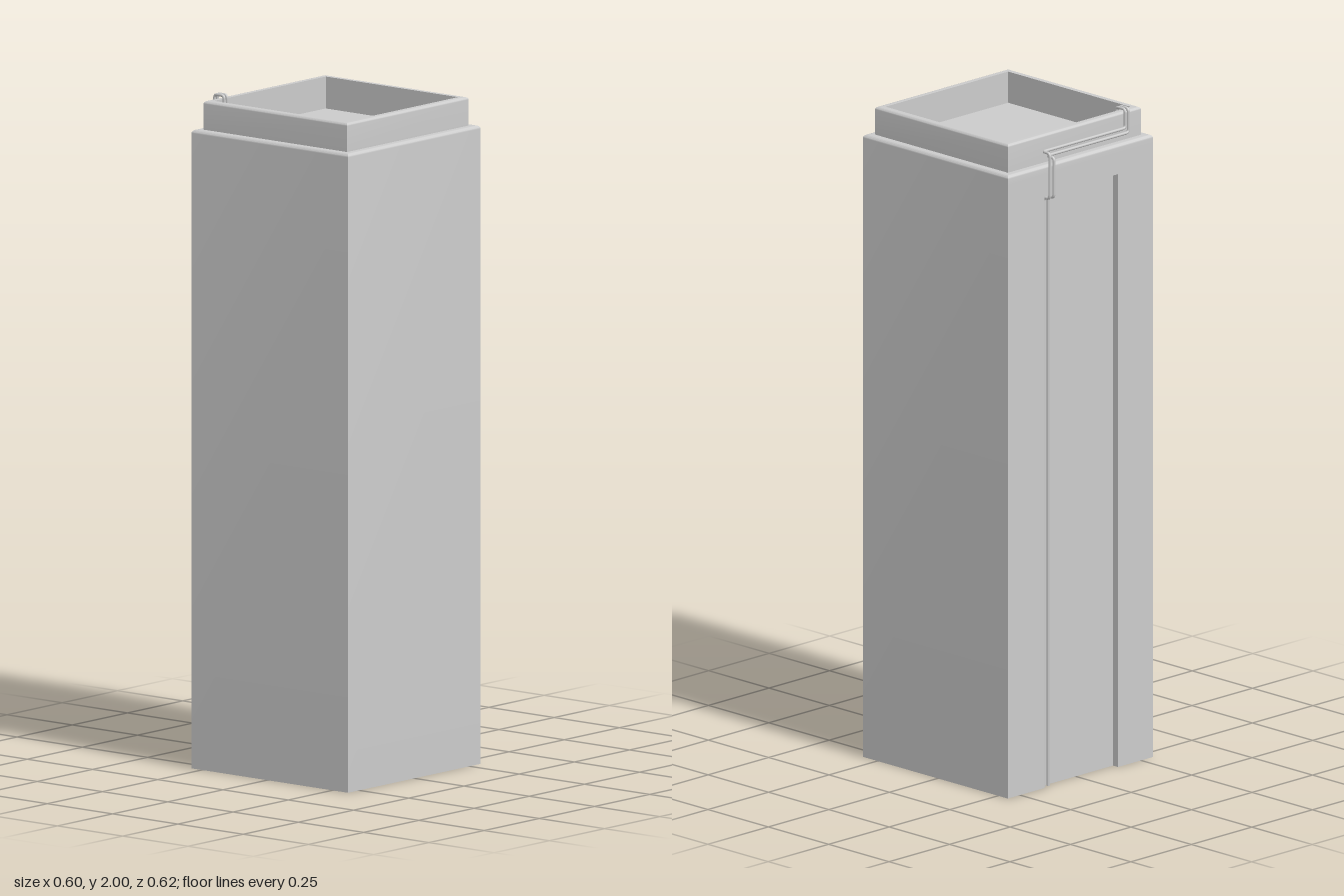
import * as THREE from 'three';
import { mergeGeometries, toCreasedNormals } from 'three/addons/utils/BufferGeometryUtils.js';

const CZ = 0.01; // the housing sits slightly forward of the pipework
const material = new THREE.MeshStandardMaterial({ color: 0xcccccc, side: THREE.DoubleSide });

// Recess in the back wall
const RECESS = { x0: -0.155, x1: 0.148, top: 1.81, depth: 0.02 };
const BACK = CZ - 0.3;

function addMesh(parent, name, geometry) {
  const mesh = new THREE.Mesh(geometry, material);
  mesh.name = name;
  parent.add(mesh);
  return mesh;
}

// Sweeps a [halfWidth, y] profile along one side of the square housing
function sideStrip(profile, angle) {
  const positions = [];
  const index = [];
  profile.forEach(([w, y], i) => {
    positions.push(-w, y, w, w, y, w);
    if (i > 0) {
      const a = 2 * (i - 1);
      index.push(a, a + 1, a + 3, a, a + 3, a + 2);
    }
  });
  const geo = new THREE.BufferGeometry();
  geo.setAttribute('position', new THREE.Float32BufferAttribute(positions, 3));
  geo.setIndex(index);
  return toCreasedNormals(geo, 0.6).rotateY(angle).translate(0, 0, CZ);
}

// Quarter-round edge from a vertical wall onto a horizontal ledge
function roundedEdge(w, y, r) {
  const points = [[w, y - r - 0.002]];
  for (let i = 0; i <= 4; i++) {
    const a = (i / 4) * Math.PI / 2;
    points.push([w - r + r * Math.cos(a), y - r + r * Math.sin(a)]);
  }
  points.push([w - r - 0.001, y]);
  return points;
}

function housing() {
  const group = new THREE.Group();
  group.name = 'housing';
  const upper = [
    ...roundedEdge(0.3, 1.9, 0.01), [0.275, 1.9],
    ...roundedEdge(0.275, 1.985, 0.008), [0.253, 1.985], [0.253, 1.89],
  ];
  const names = ['frontWall', 'leftWall', 'backUpperWall', 'rightWall'];
  names.forEach((name, i) => {
    const start = [0.3, i === 2 ? 1.87 : 0];
    addMesh(group, name, sideStrip([start, ...upper], i * Math.PI / 2));
  });

  // Back wall around the recess
  const { x0, x1, top, depth } = RECESS;
  const outline = [[-0.3, 0], [x0, 0], [x0, top], [x1, top], [x1, 0], [0.3, 0], [0.3, 1.87], [-0.3, 1.87]];
  // mirrored in x, because the wall is turned to face backwards
  const shape = new THREE.Shape(outline.map(([x, y]) => new THREE.Vector2(-x, y)));
  addMesh(group, 'backWall', new THREE.ShapeGeometry(shape).rotateY(Math.PI).translate(0, 0, BACK));

  // Recess panel with its two sides and top
  const mid = (x0 + x1) / 2;
  const zMid = BACK + depth / 2;
  addMesh(group, 'recessPanel',
    new THREE.PlaneGeometry(x1 - x0, top).rotateY(Math.PI).translate(mid, top / 2, BACK + depth));
  addMesh(group, 'recessTop',
    new THREE.PlaneGeometry(x1 - x0, depth).rotateX(Math.PI / 2).translate(mid, top, zMid));
  for (const [x, turn] of [[x0, 1], [x1, -1]]) {
    addMesh(group, 'recessSide',
      new THREE.PlaneGeometry(depth, top).rotateY(turn * Math.PI / 2).translate(x, top / 2, zMid));
  }

  // Floor of the open tray on top
  addMesh(group, 'trayFloor',
    new THREE.PlaneGeometry(0.506, 0.506).rotateX(-Math.PI / 2).translate(0, 1.89, CZ));
  return group;
}

// Round tube through corner points, with a small bend at each corner
function pipeGeometry(corners, radius, bend) {
  const pts = corners.map((c) => new THREE.Vector3(...c));
  const parts = [];
  let from = pts[0];
  for (let i = 1; i < pts.length; i++) {
    const p = pts[i];
    if (i === pts.length - 1) {
      parts.push(new THREE.TubeGeometry(new THREE.LineCurve3(from, p), 1, radius, 10));
      break;
    }
    const enter = p.clone().add(pts[i - 1].clone().sub(p).setLength(bend));
    const leave = p.clone().add(pts[i + 1].clone().sub(p).setLength(bend));
    parts.push(new THREE.TubeGeometry(new THREE.LineCurve3(from, enter), 1, radius, 10));
    parts.push(new THREE.TubeGeometry(new THREE.QuadraticBezierCurve3(enter, p, leave), 6, radius, 10));
    from = leave;
  }
  return mergeGeometries(parts);
}

function pipes() {
  const group = new THREE.Group();
  group.name = 'pipes';
  // Each pipe hooks over the rim, runs along the back and drops down the recess
  const runs = [
    { name: 'lowerPipe', hookX: -0.213, dropX: 0.123, y: 1.922 },
    { name: 'upperPipe', hookX: -0.2, dropX: 0.14, y: 1.938 },
  ];
  for (const { name, hookX, dropX, y } of runs) {
    addMesh(group, name, pipeGeometry([
      [hookX, 1.89, -0.238], [hookX, 1.9955, -0.238], [hookX, 1.9955, -0.275],
      [hookX, y, -0.275], [dropX, y, -0.275], [dropX, y, -0.304],
      [dropX, 1.8, -0.304], [dropX, 1.8, -0.28], [dropX, 0, -0.28],
    ], 0.0045, 0.011));
  }
  return group;
}

export function createModel() {
  const model = new THREE.Group();
  model.name = 'towerWithTray';
  model.add(housing(), pipes());
  return model;
}
